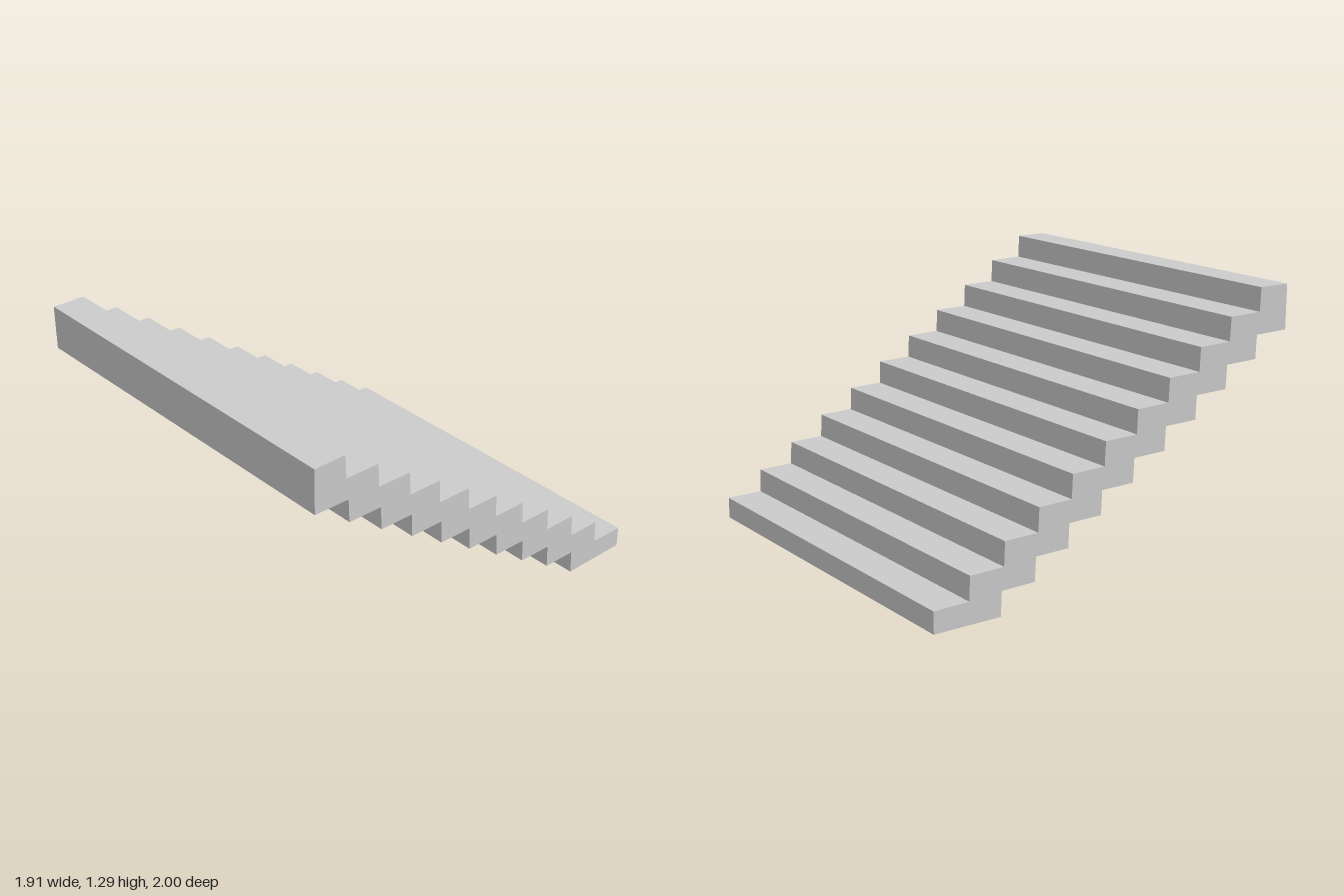
import * as THREE from 'three';

const STEPS = 11, RUN = 0.183, RISE = 0.1188, WIDTH = 1.914;
const LEAN = 0.005; // risers lean slightly
const DROP = 0.003; // treads fall slightly towards the nose

// Sawtooth side profile as [z, y] points
function stairProfile() {
  const pts = [];
  // treads and risers, from the bottom step up
  for (let k = 0; k < STEPS; k++) {
    const last = k === STEPS - 1;
    const y = 0.105 + RISE * k;
    const nose = k === 0 ? -1 : -0.818 + RUN * (k - 1) + LEAN;
    const inner = last ? 1 : -0.818 + RUN * k;
    pts.push([nose, y], [inner, y + (last ? 0 : DROP)]);
  }
  // stepped underside, from the top back down
  for (let k = STEPS - 2; k >= 0; k--) {
    const y = RISE * k;
    const front = k === STEPS - 2 ? 1 : -0.652 + RUN * k;
    const back = k === 0 ? -1 : -0.652 + RUN * (k - 1) + LEAN;
    pts.push([front, y + (k === 0 ? 0 : DROP)], [back, y]);
  }
  return pts;
}

export function createModel() {
  const group = new THREE.Group();
  group.name = 'staircase';

  // Shape x stands for -z, so a quarter turn points the extrusion along x
  const shape = new THREE.Shape(stairProfile().map(([z, y]) => new THREE.Vector2(-z, y)));
  const geometry = new THREE.ExtrudeGeometry(shape, { depth: WIDTH, bevelEnabled: false });
  geometry.translate(0, 0, -WIDTH / 2);
  geometry.rotateY(Math.PI / 2);

  const flight = new THREE.Mesh(geometry, new THREE.MeshStandardMaterial({ color: 0xcccccc, flatShading: true }));
  flight.name = 'stairFlight';
  group.add(flight);
  return group;
}
